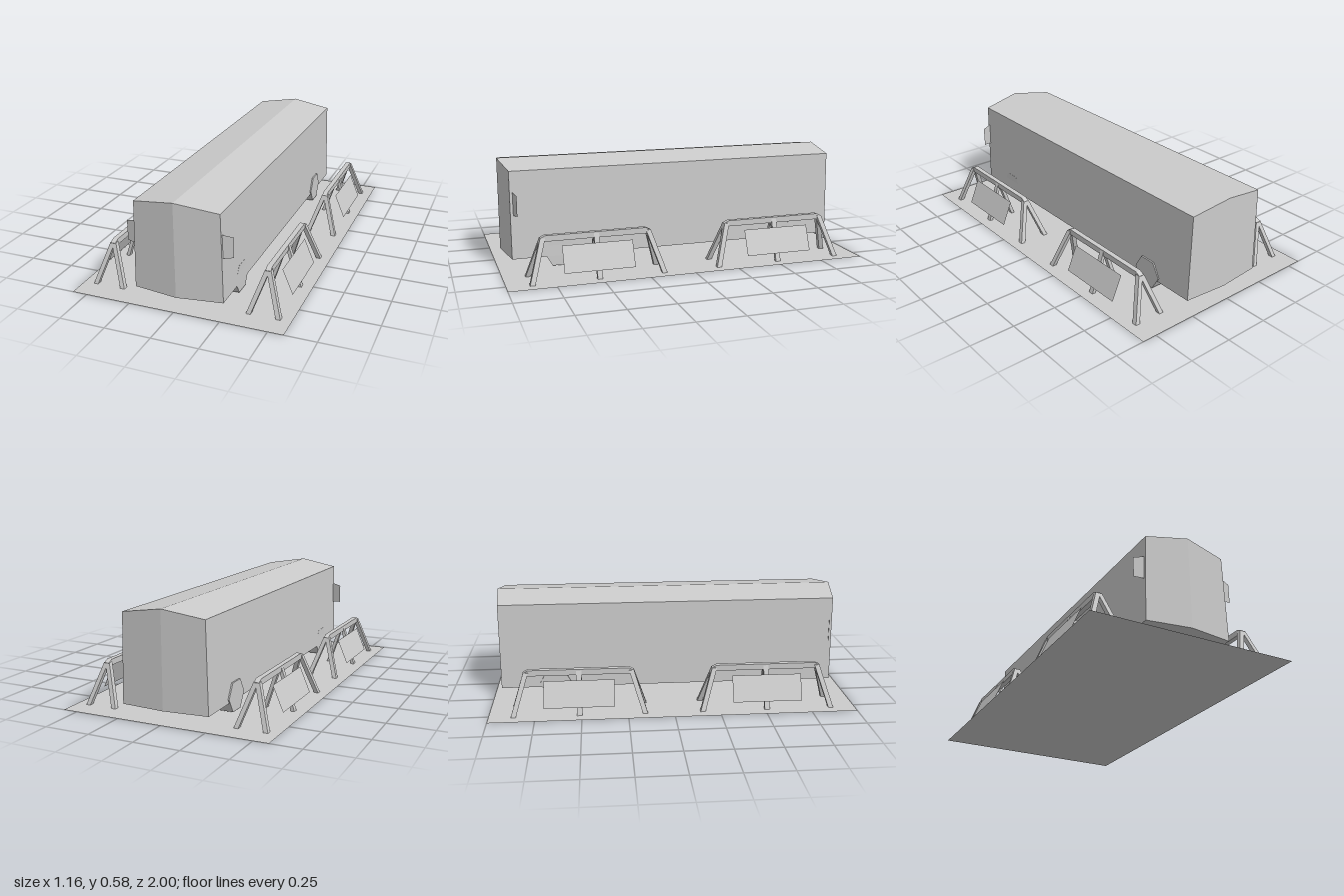
import * as THREE from 'three';
import { ConvexGeometry } from 'three/addons/geometries/ConvexGeometry.js';

const solid = new THREE.MeshStandardMaterial({ color: 0xcccccc, flatShading: true });
const thin = new THREE.MeshStandardMaterial({ color: 0xcccccc, flatShading: true, side: THREE.DoubleSide });

function add(parent, name, geometry, material = solid) {
  const mesh = new THREE.Mesh(geometry, material);
  mesh.name = name;
  parent.add(mesh);
  return mesh;
}

// Sheared box between two points, with level ends
function strut(from, to, w, d) {
  const a = new THREE.Vector3(...from), b = new THREE.Vector3(...to);
  const m = new THREE.Matrix4().makeBasis(
    new THREE.Vector3(1, 0, 0), b.clone().sub(a), new THREE.Vector3(0, 0, 1));
  m.setPosition(a.add(b).multiplyScalar(0.5));
  return new THREE.BoxGeometry(w, 1, d).applyMatrix4(m);
}

// Flat four-cornered panel
function panel(corners) {
  const g = new THREE.BufferGeometry();
  g.setAttribute('position', new THREE.Float32BufferAttribute(corners.flat(), 3));
  g.setIndex([0, 1, 2, 0, 2, 3]);
  g.computeVertexNormals();
  return g;
}

// A-frame bike rack with a sign board; outward is the side (+1 or -1) the sign faces
function makeRack(outward) {
  const rack = new THREE.Group();
  rack.name = 'rack';

  // Top rail with chamfered ends
  const rail = new THREE.ExtrudeGeometry(new THREE.Shape([
    [-0.295, 0.206], [0.295, 0.206], [0.3, 0.224], [0.272, 0.238], [-0.272, 0.238], [-0.3, 0.224],
  ].map(p => new THREE.Vector2(...p))), { depth: 0.028, bevelEnabled: false });
  rail.translate(0, 0, -0.014).rotateY(-Math.PI / 2);
  add(rack, 'topRail', rail);

  for (const sx of [-1, 1]) {
    // Splayed legs at both ends
    for (const sz of [-1, 1]) {
      add(rack, 'leg', strut([sx * 0.079, 0, sz * 0.355], [sx * 0.004, 0.225, sz * 0.285], 0.025, 0.027));
    }
    // Thin middle support
    add(rack, 'middleSupport', strut([sx * 0.079, 0, 0], [sx * 0.004, 0.23, 0], 0.02, 0.028));
  }

  // Sign board leaning with the outer legs
  const top = outward * 0.04, low = outward * 0.097;
  add(rack, 'signBoard', panel([
    [low, 0.05, 0.19], [low, 0.05, -0.19], [top, 0.185, -0.19], [top, 0.185, 0.19],
  ]), thin);
  return rack;
}

export function createModel() {
  const model = new THREE.Group();
  model.name = 'busStand';

  add(model, 'groundPlate', new THREE.PlaneGeometry(1.164, 2).rotateX(-Math.PI / 2), thin);

  // Body with a ridged roof and folded ends
  const points = [];
  for (const [y, ridge, x] of [[0.065, 0.065, 0.244], [0.545, 0.581, 0.232]]) {
    for (const [center, corner] of [[0.965, 0.93], [-0.972, -0.952]]) {
      points.push(new THREE.Vector3(0, ridge, center),
        new THREE.Vector3(x, y, corner), new THREE.Vector3(-x, y, corner));
    }
  }
  add(model, 'body', new ConvexGeometry(points));

  for (const s of [-1, 1]) {
    // Six-sided wheels, the rear pair standing out slightly
    for (const [name, z, outer] of [['frontWheel', 0.667, 0.2425], ['rearWheel', -0.647, 0.25]]) {
      const wheel = add(model, name, new THREE.CylinderGeometry(0.09, 0.09, outer - 0.175, 6).rotateZ(Math.PI / 2));
      wheel.position.set(s * (outer + 0.175) / 2, 0.088, z);
    }

    // Wing mirror
    add(model, 'wingMirror', panel([
      [s * 0.235, 0.305, 0.915], [s * 0.29, 0.31, 0.9], [s * 0.29, 0.42, 0.9], [s * 0.235, 0.432, 0.915],
    ]), thin);

    // Two racks on each side
    for (const z of [-0.512, 0.512]) {
      const rack = makeRack(s);
      rack.position.set(s * 0.434, 0, z);
      model.add(rack);
    }
  }
  return model;
}
